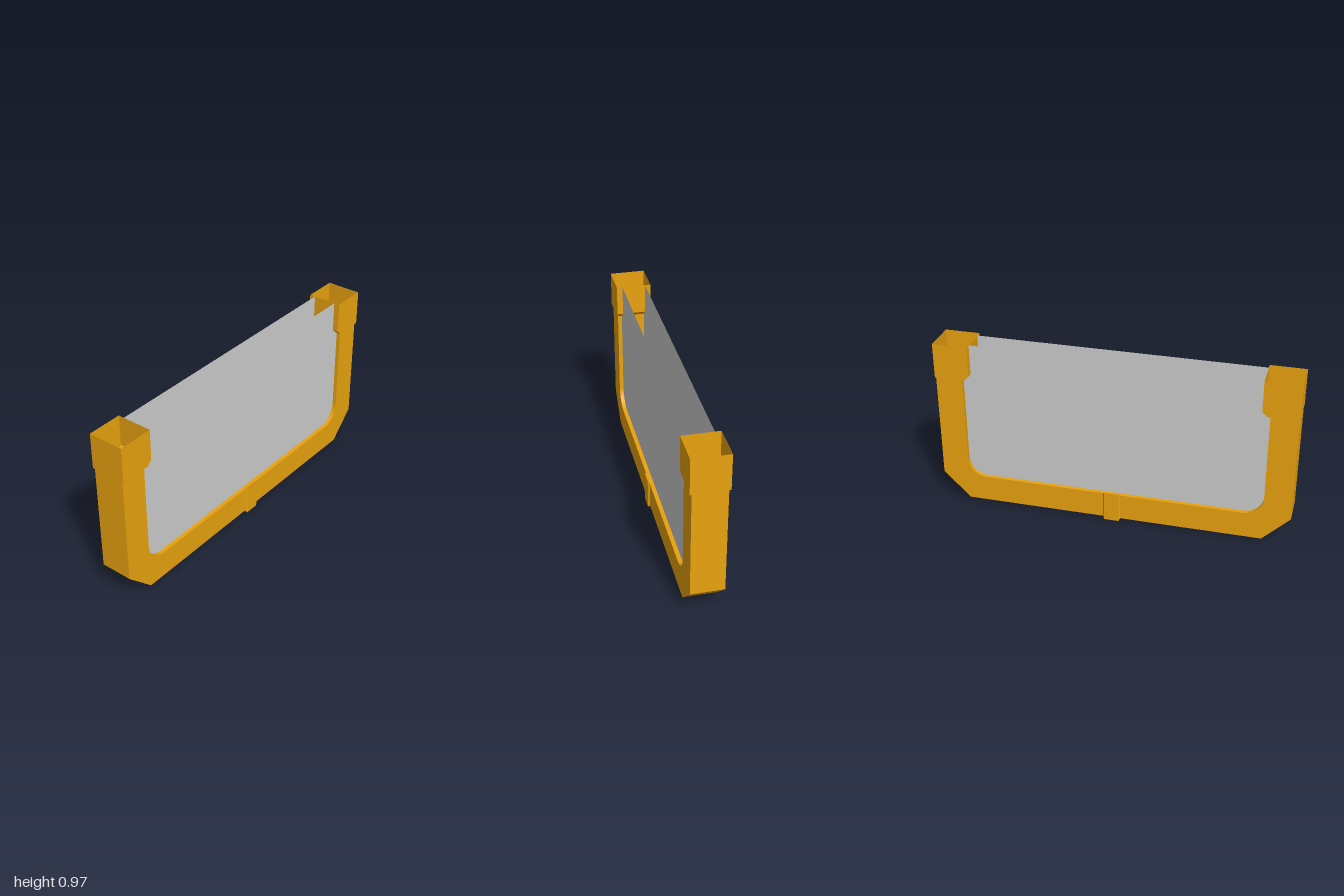
import * as THREE from 'three';
import { toCreasedNormals } from 'three/addons/utils/BufferGeometryUtils.js';

const orange = new THREE.MeshStandardMaterial({ color: 0xe8a20f, side: THREE.DoubleSide });
const grey = new THREE.MeshStandardMaterial({ color: 0xcccccc, side: THREE.DoubleSide });

function add(parent, name, geometry, material) {
  const mesh = new THREE.Mesh(geometry, material);
  mesh.name = name;
  parent.add(mesh);
  return mesh;
}

// Joins consecutive cross-sections (arrays of [x, y, z]) with quads
function loft(sections) {
  const pos = [], index = [], n = sections[0].length;
  sections.forEach((s) => s.forEach((p) => pos.push(...p)));
  for (let i = 0; i < sections.length - 1; i++) {
    for (let j = 0; j < n - 1; j++) {
      const a = i * n + j, b = a + n;
      index.push(a, b, b + 1, a, b + 1, a + 1);
    }
  }
  const g = new THREE.BufferGeometry();
  g.setAttribute('position', new THREE.Float32BufferAttribute(pos, 3));
  g.setIndex(index);
  return toCreasedNormals(g, Math.PI / 6);
}

// Wall following an outline in the xy plane, spanning z from -d to d
const wall = (outline, d) => loft(outline.map(([x, y]) => [[x, y, d], [x, y, -d]]));

const toShape = (outline) => new THREE.Shape(outline.map(([x, y]) => new THREE.Vector2(x, y)));

// Matching flat sheets facing +z and -z
function sheets(parent, name, outline, d, material) {
  add(parent, name + 'Front', new THREE.ShapeGeometry(toShape(outline)).translate(0, 0, d), material);
  const mirrored = outline.map(([x, y]) => [-x, y]);
  const back = new THREE.ShapeGeometry(toShape(mirrored)).rotateY(Math.PI).translate(0, 0, -d);
  add(parent, name + 'Back', back, material);
}

const TOP = 0.973, CAP_BOTTOM = 0.773, CAP_Z = 0.1, FRAME_Z = 0.09, PANE_Z = 0.067;
const OUT_X = 0.997, IN_X = 0.845, FLOOR = 0.165, BASE = 0.014, RADIUS = 0.11;

// Mirrors the right half of an outline into a left-to-right outline
const symmetric = (half) => [...half.map(([x, y]) => [-x, y]), ...half.slice().reverse()];

export function createModel() {
  const model = new THREE.Group();
  model.name = 'glazedFrame';

  // Hollow U-shaped frame: chamfered outside, rounded inside
  const outer = symmetric([[OUT_X, CAP_BOTTOM], [OUT_X, FLOOR], [IN_X, BASE]]);
  const half = [[IN_X, CAP_BOTTOM]];
  for (let i = 0; i <= 12; i++) {
    const a = (i / 12) * Math.PI / 2;
    half.push([IN_X - RADIUS + RADIUS * Math.cos(a), FLOOR + RADIUS - RADIUS * Math.sin(a)]);
  }
  const inner = symmetric(half);
  const frame = new THREE.Group();
  frame.name = 'frame';
  sheets(frame, 'frameFace', [...outer, ...inner.slice().reverse()], FRAME_Z, orange);
  add(frame, 'frameOuterWall', wall(outer, FRAME_Z), orange);
  add(frame, 'frameInnerWall', wall(inner.slice().reverse(), FRAME_Z), orange);
  model.add(frame);

  // Two panes fitted inside the frame and between the caps
  const capIn = 0.802, capFoot = 0.83, capSlope = 0.8;
  const pane = symmetric([[capIn, TOP], [capIn, capSlope], [capFoot, CAP_BOTTOM], ...half]);
  sheets(model, 'pane', pane, PANE_Z, grey);

  // Hollow caps, open at the top
  for (const side of [1, -1]) {
    const cap = new THREE.Group();
    cap.name = side > 0 ? 'leftCap' : 'rightCap';
    let outline = [[capIn, TOP], [capIn, capSlope], [capFoot, CAP_BOTTOM], [1, CAP_BOTTOM], [1, TOP]];
    let foot = [[capFoot, CAP_BOTTOM], [capSlope, CAP_BOTTOM]];
    outline = outline.map(([x, y]) => [x * side, y]);
    if (side < 0) outline.reverse();
    sheets(cap, 'capFace', outline, CAP_Z, orange);
    const sloped = side > 0 ? outline.slice(0, 3) : outline.slice(2);
    const outside = side > 0 ? outline.slice(3) : outline.slice(0, 2);
    add(cap, 'capInnerWall', wall(sloped, CAP_Z), orange);
    add(cap, 'capOuterWall', wall(outside, CAP_Z), orange);
    // Underside lip around the post
    const rect = (x0, x1, d) => [[x0, -d], [x1, -d], [x1, d], [x0, d]].map(([x, z]) => [x * side, z]);
    const lip = toShape(rect(capFoot, 1, CAP_Z));
    lip.holes.push(toShape(rect(IN_X, OUT_X, FRAME_Z)));
    const lipGeometry = new THREE.ShapeGeometry(lip).rotateX(Math.PI / 2).translate(0, CAP_BOTTOM, 0);
    add(cap, 'capLip', lipGeometry, orange);
    model.add(cap);
  }

  // Bevelled clip wrapped under the middle of the frame
  const clipPath = [
    [FRAME_Z, FLOOR, CAP_Z, 0.175], [FRAME_Z, BASE, CAP_Z, 0],
    [-FRAME_Z, BASE, -CAP_Z, 0], [-FRAME_Z, FLOOR, -CAP_Z, 0.175],
  ];
  const clip = clipPath.map(([zi, yi, zo, yo]) =>
    [[-0.05, yi, zi], [-0.042, yo, zo], [0.042, yo, zo], [0.05, yi, zi]]);
  add(model, 'centreClip', loft(clip), orange);
  // Sloping upper ends of the clip
  for (const s of [clip[0], clip[3].slice().reverse()]) {
    add(model, 'clipEnd', loft([[s[0], s[1]], [s[3], s[2]]]), orange);
  }
  return model;
}
